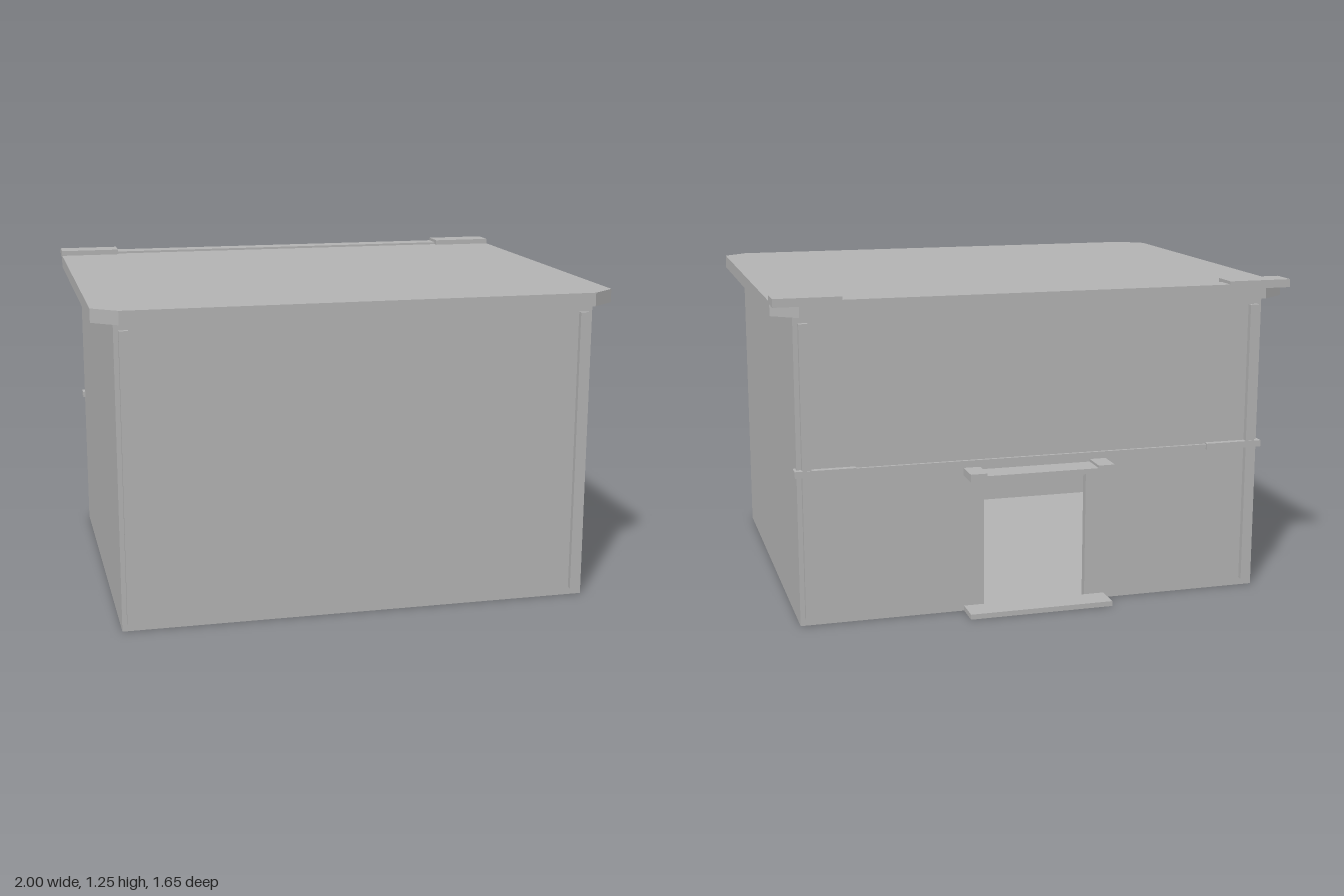
import * as THREE from 'three';

export function createModel() {
  const model = new THREE.Group();
  model.name = 'hut';
  const grey = new THREE.MeshStandardMaterial({ color: 0xb2b2b2 });
  grey.name = 'plain grey';

  const add = (name, geometry) => {
    const mesh = new THREE.Mesh(geometry, grey);
    mesh.name = name;
    model.add(mesh);
    return mesh;
  };
  // Box given by its extents along each axis
  const box = (name, [x0, x1], [y0, y1], [z0, z1]) => {
    const mesh = add(name, new THREE.BoxGeometry(x1 - x0, y1 - y0, z1 - z0));
    mesh.position.set((x0 + x1) / 2, (y0 + y1) / 2, (z0 + z1) / 2);
  };
  // The same box on both sides of the model
  const pair = (name, [x0, x1], y, z) => {
    box(name + 'Left', [x0, x1], y, z);
    box(name + 'Right', [-x1, -x0], y, z);
  };

  const W = 0.92, H = 1.18, FRONT = 0.76, BACK = -0.72, T = 0.03;
  const inner = [BACK + T, FRONT - T];

  // Hollow body: floor, front and side walls
  box('floor', [-W + T, W - T], [0, 0.01], inner);
  box('frontWall', [-W, W], [0, H], [FRONT - T, FRONT]);
  pair('sideWall', [W - T, W], [0, H], inner);

  // Back wall with the doorway cut out
  const wall = new THREE.Shape([[-W, 0], [W, 0], [W, H], [-W, H]].map(p => new THREE.Vector2(...p)));
  wall.holes.push(new THREE.Path(
    [[-0.205, 0.01], [-0.205, 0.515], [0.205, 0.515], [0.205, 0.01]].map(p => new THREE.Vector2(...p))));
  add('backWall', new THREE.ExtrudeGeometry(wall, { depth: T, bevelEnabled: false })).position.z = BACK;

  // Roof slab with four clipped corners; shape y becomes -z
  const outline = [[-0.905, -0.825], [0.905, -0.825], [1, -0.75], [1, 0.717],
    [0.905, 0.79], [-0.905, 0.79], [-1, 0.717], [-1, -0.75]];
  const roof = add('roof', new THREE.ExtrudeGeometry(
    new THREE.Shape(outline.map(p => new THREE.Vector2(...p))), { depth: 0.052, bevelEnabled: false }));
  roof.rotation.x = -Math.PI / 2;
  roof.position.y = H;

  // Ridge strip along the back edge, with thicker end caps
  box('ridgeStrip', [-0.75, 0.75], [1.222, 1.241], [-0.8, -0.72]);
  pair('ridgeCap', [0.75, 1], [1.222, 1.253], [-0.8, -0.695]);

  // Corner posts, front and back
  pair('frontPost', [0.867, 0.902], [0.03, 1.15], [FRONT, FRONT + 0.02]);
  pair('backPost', [0.867, 0.902], [0.03, 1.15], [BACK - 0.022, BACK]);

  // Rail across the back, with end brackets wrapping the corners
  box('rail', [-0.7, 0.7], [0.583, 0.6], [BACK - 0.012, BACK]);
  pair('railBracket', [0.7, 0.93], [0.58, 0.605], [-0.745, -0.693]);

  // Door canopy with raised ends, and the doorstep
  box('canopy', [-0.22, 0.22], [0.54, 0.56], [-0.825, BACK]);
  pair('canopyEnd', [0.22, 0.285], [0.54, 0.57], [-0.825, BACK]);
  box('doorstep', [-0.285, 0.285], [0, 0.02], [-0.825, BACK]);

  return model;
}
